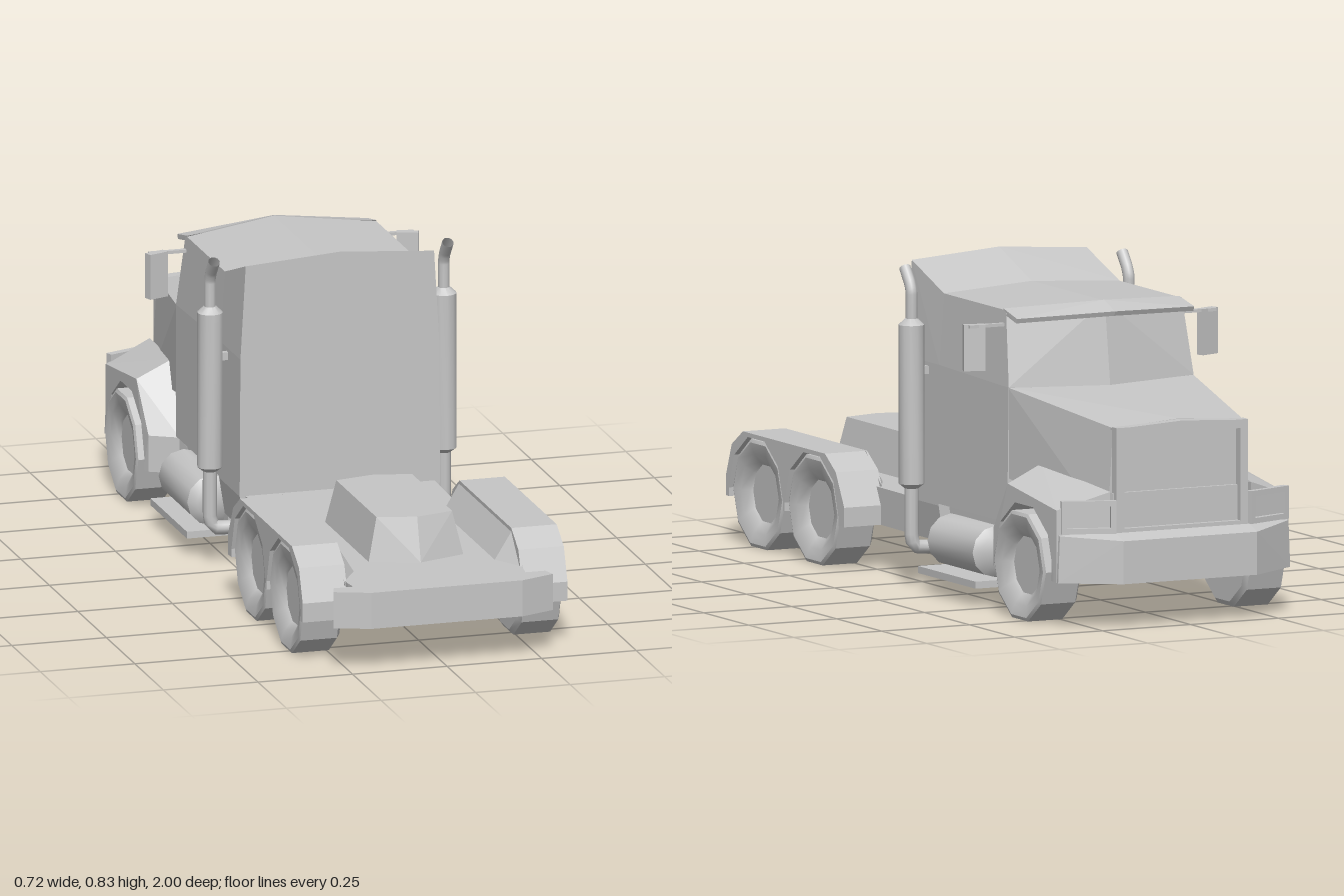
import * as THREE from 'three';
import { toCreasedNormals } from 'three/addons/utils/BufferGeometryUtils.js';
import { ConvexGeometry } from 'three/addons/geometries/ConvexGeometry.js';

const V = (x, y, z) => new THREE.Vector3(x, y, z);

// convex solid from points; symmetric solids list only their +x half
const hull = (pts) => new ConvexGeometry(pts.map((p) => V(...p)));
const symHull = (pts) => hull([...pts, ...pts.filter((p) => p[0] !== 0).map(([x, y, z]) => [-x, y, z])]);

// side outline of [z, y] points extruded along x
function sidePanel(outline, x0, x1, hole) {
  const toV2 = ([z, y]) => new THREE.Vector2(-z, y);
  const shape = new THREE.Shape(outline.map(toV2));
  if (hole) shape.holes.push(new THREE.Path(hole.map(toV2)));
  return new THREE.ExtrudeGeometry(shape, { depth: x1 - x0, bevelEnabled: false })
    .rotateY(Math.PI / 2).translate(x0, 0, 0);
}

// copy reflected across x = 0 with corner order restored
function reflect(geometry) {
  const g = geometry.index ? geometry.toNonIndexed() : geometry.clone();
  for (const name of ['position', 'normal']) {
    const a = g.attributes[name];
    for (let i = 0; i < a.count; i += 3) {
      const t = [0, 2, 1].map((k) => [-a.getX(i + k), a.getY(i + k), a.getZ(i + k)]);
      t.forEach((p, k) => a.setXYZ(i + k, ...p));
    }
  }
  return g;
}

const WHEEL_Y = 0.137;
const WHEEL_R = 0.144;

// half-decagon wheel opening, listed from high z to low z
function arch(zc, r) {
  const pts = [[zc + r, 0.115]];
  for (let i = 0; i <= 5; i++) {
    const a = (i * Math.PI) / 5;
    pts.push([zc + r * Math.cos(a), WHEEL_Y + r * Math.sin(a)]);
  }
  return [...pts, [zc - r, 0.115]];
}

function tube(points, r) {
  const curve = new THREE.CatmullRomCurve3(points.map((p) => V(...p)), false, 'catmullrom', 0.2);
  return new THREE.TubeGeometry(curve, 24, r, 10);
}

// flat frame with a rectangular opening, facing -z
function frame(w, h, border, depth) {
  const s = new THREE.Shape([[-w, -h], [w, -h], [w, h], [-w, h]].map((p) => new THREE.Vector2(...p)));
  const a = w - border, b = h - border;
  s.holes.push(new THREE.Path([[-a, -b], [-a, b], [a, b], [a, -b]].map((p) => new THREE.Vector2(...p))));
  return new THREE.ExtrudeGeometry(s, { depth, bevelEnabled: false });
}

export function createModel() {
  const truck = new THREE.Group();
  truck.name = 'semiTruck';
  const paint = new THREE.MeshStandardMaterial({ color: 0xc6c6c6, side: THREE.DoubleSide });
  paint.name = 'lightGrey';

  const add = (name, geometry) => {
    const mesh = new THREE.Mesh(geometry, paint);
    mesh.name = name;
    truck.add(mesh);
  };
  const pair = (name, geometry) => {
    add(name + 'Left', geometry);
    add(name + 'Right', reflect(geometry));
  };
  // the same half-plan [x, z] at two heights
  const slab = (plan, y0, y1) => symHull(plan.flatMap(([x, z]) => [[x, y0, z], [x, y1, z]]));

  // chassis
  add('rearDeck', slab([[0.25, 0.05], [0.236, 0.1], [0.232, 0.9], [0.225, 0.95]], 0.115, 0.21));
  add('midChassis', slab([[0.21, 0.06], [0.21, -0.55]], 0.115, 0.23));
  add('noseChassis', slab([[0.215, -0.5], [0.215, -0.88], [0.19, -0.94]], 0.115, 0.34));
  add('rearBumper', slab([[0.28, 0.932], [0.29, 0.966], [0.2, 1.0]], 0.115, 0.21));
  add('frontBumper', symHull([[0.325, 0.115, -0.86], [0.33, 0.115, -0.91], [0.19, 0.115, -1],
    [0.325, 0.24, -0.87], [0.325, 0.235, -0.91], [0.19, 0.225, -1], [0.19, 0.245, -0.94]]));

  // trailer coupling
  add('coupling', symHull([[0.125, 0.21, 0.345], [0, 0.21, 0.297], [0.125, 0.21, 0.727], [0, 0.21, 0.77],
    [0.1, 0.322, 0.36], [0, 0.322, 0.338], [0.1, 0.322, 0.712], [0, 0.322, 0.738]]));

  // sleeper with raised roof, and cab with swept windscreen
  add('sleeper', symHull([
    [0.25, 0.115, 0.06], [0.265, 0.21, 0.06], [0.263, 0.57, 0.06], [0.249, 0.815, 0.06], [0, 0.833, 0.06],
    [0.25, 0.115, -0.12], [0.265, 0.21, -0.12], [0.263, 0.57, -0.12], [0.25, 0.752, -0.12], [0, 0.768, -0.12]]));
  add('cab', symHull([
    [0.265, 0.215, -0.12], [0.263, 0.57, -0.12], [0.25, 0.752, -0.12], [0, 0.768, -0.12],
    [0.265, 0.215, -0.5], [0.263, 0.56, -0.505], [0.25, 0.752, -0.465], [0, 0.768, -0.525],
    [0, 0.555, -0.555], [0, 0.215, -0.555]]));
  pair('visor', hull([[0, 0.77, -0.52], [0, 0.755, -0.52], [0.25, 0.755, -0.45], [0.25, 0.74, -0.46],
    [0, 0.748, -0.583], [0, 0.736, -0.578], [0.252, 0.738, -0.53], [0.252, 0.726, -0.525]]));

  // hood with recessed grille
  add('hood', symHull([
    [0.263, 0.33, -0.49], [0.263, 0.56, -0.5], [0, 0.562, -0.5], [0, 0.556, -0.555],
    [0.2, 0.25, -0.93], [0.185, 0.505, -0.93], [0, 0.518, -0.93], [0.225, 0.33, -0.72]]));
  add('grilleFrame', frame(0.187, 0.14, 0.022, 0.025).translate(0, 0.368, -0.955));
  add('grilleTop', symHull([[0.187, 0.5, -0.955], [0.187, 0.506, -0.955], [0, 0.516, -0.955],
    [0.187, 0.5, -0.92], [0.187, 0.506, -0.92], [0, 0.517, -0.92], [0, 0.5, -0.955]]));

  // front fender, whose top slopes up to meet the hood
  const fender = sidePanel([[-0.5, 0.115], [-0.5, 0.21], [-0.63, 0.335], [-0.9, 0.3], [-0.9, 0.115],
    ...arch(-0.72, 0.163).reverse()], 0.2, 0.33);
  const p = fender.attributes.position;
  for (let i = 0; i < p.count; i++) {
    const z = p.getZ(i), y = p.getY(i), outer = p.getX(i) > 0.3;
    const onTop = (z < -0.62 && z > -0.64 && y > 0.33) || (z < -0.89 && y > 0.29);
    if (onTop && !outer) p.setY(i, y + 0.045);
    if (z < -0.89 && !outer) p.setZ(i, -0.945);
    if (z > -0.51 && outer) p.setXYZ(i, 0.325, y, -0.54);
    if (z > -0.51 && !outer) p.setX(i, 0.255);
    if (z < -0.62 && z > -0.64 && onTop && !outer) p.setX(i, 0.235);
  }
  fender.computeVertexNormals();
  pair('frontFender', fender);
  pair('headlightFrame', frame(0.07, 0.042, 0.014, 0.02)
    .rotateY(-0.36).translate(0.258, 0.282, -0.94));

  // rear fenders with double wheel openings and a sloping inner flank
  pair('rearFender', sidePanel([[0.895, 0.115], [0.895, 0.165], [0.862, 0.25], [0.8, 0.29], [0.345, 0.29],
    [0.285, 0.25], [0.238, 0.165], [0.238, 0.115],
    ...arch(0.419, 0.149).reverse(), ...arch(0.727, 0.149).reverse()], 0.23, 0.35));
  pair('rearFenderFlank', hull([[0.236, 0.29, 0.34], [0.236, 0.29, 0.8], [0.236, 0.2, 0.24],
    [0.236, 0.2, 0.89], [0.185, 0.208, 0.345], [0.185, 0.208, 0.8]]));

  // wheels with dished faces and flat hubs
  const profile = [[0, -0.055], [0.13, -0.055], [WHEEL_R, -0.045], [WHEEL_R, 0.052], [0.135, 0.056],
    [0.105, 0.05], [0.082, 0.036], [0.076, 0.03], [0, 0.03]].map((q) => new THREE.Vector2(...q));
  const wheel = toCreasedNormals(new THREE.LatheGeometry(profile, 10), 0.55).rotateZ(-Math.PI / 2);
  [['frontWheel', -0.72], ['middleWheel', 0.419], ['rearWheel', 0.727]].forEach(([name, z]) =>
    pair(name, wheel.clone().translate(0.289, WHEEL_Y, z)));

  // exhaust stacks joined by a pipe under the floor
  const muffler = [[0, 0.25], [0.018, 0.25], [0.033, 0.262], [0.033, 0.668], [0.016, 0.684], [0, 0.684]];
  pair('muffler', toCreasedNormals(new THREE.LatheGeometry(muffler.map((q) => new THREE.Vector2(...q)), 12), 0.6)
    .translate(0.309, 0, -0.055));
  pair('stackTip', tube([[0.309, 0.67, -0.055], [0.309, 0.75, -0.055], [0.309, 0.775, -0.045],
    [0.309, 0.81, -0.018]], 0.015));
  pair('exhaustPipe', tube([[0.309, 0.27, -0.055], [0.309, 0.13, -0.055], [0.3, 0.102, -0.055],
    [0.27, 0.098, -0.055], [0, 0.098, -0.055]], 0.018));
  pair('stackBracket', new THREE.BoxGeometry(0.05, 0.02, 0.016).translate(0.28, 0.55, -0.055));

  // fuel tanks on cradles with a step below
  const tank = [[0, -0.145], [0.045, -0.14], [0.066, -0.125], [0.066, 0.125], [0.045, 0.14], [0, 0.145]];
  pair('fuelTank', toCreasedNormals(new THREE.LatheGeometry(tank.map((q) => new THREE.Vector2(...q)), 12), 0.6)
    .rotateX(Math.PI / 2).translate(0.264, 0.133, -0.31));
  pair('tankCradle', hull([[0.2, 0.215, -0.12], [0.2, 0.215, -0.5], [0.2, 0.08, -0.14], [0.2, 0.08, -0.48],
    [0.235, 0.215, -0.12], [0.235, 0.215, -0.5], [0.235, 0.05, -0.15], [0.235, 0.05, -0.475]]));
  pair('tankStep', new THREE.BoxGeometry(0.115, 0.018, 0.32).translate(0.283, 0.056, -0.312));

  // mirrors
  pair('mirror', new THREE.BoxGeometry(0.055, 0.118, 0.022).rotateY(-0.35).translate(0.332, 0.66, -0.447));
  pair('mirrorArm', new THREE.BoxGeometry(0.1, 0.008, 0.012).translate(0.3, 0.715, -0.455));

  return truck;
}
